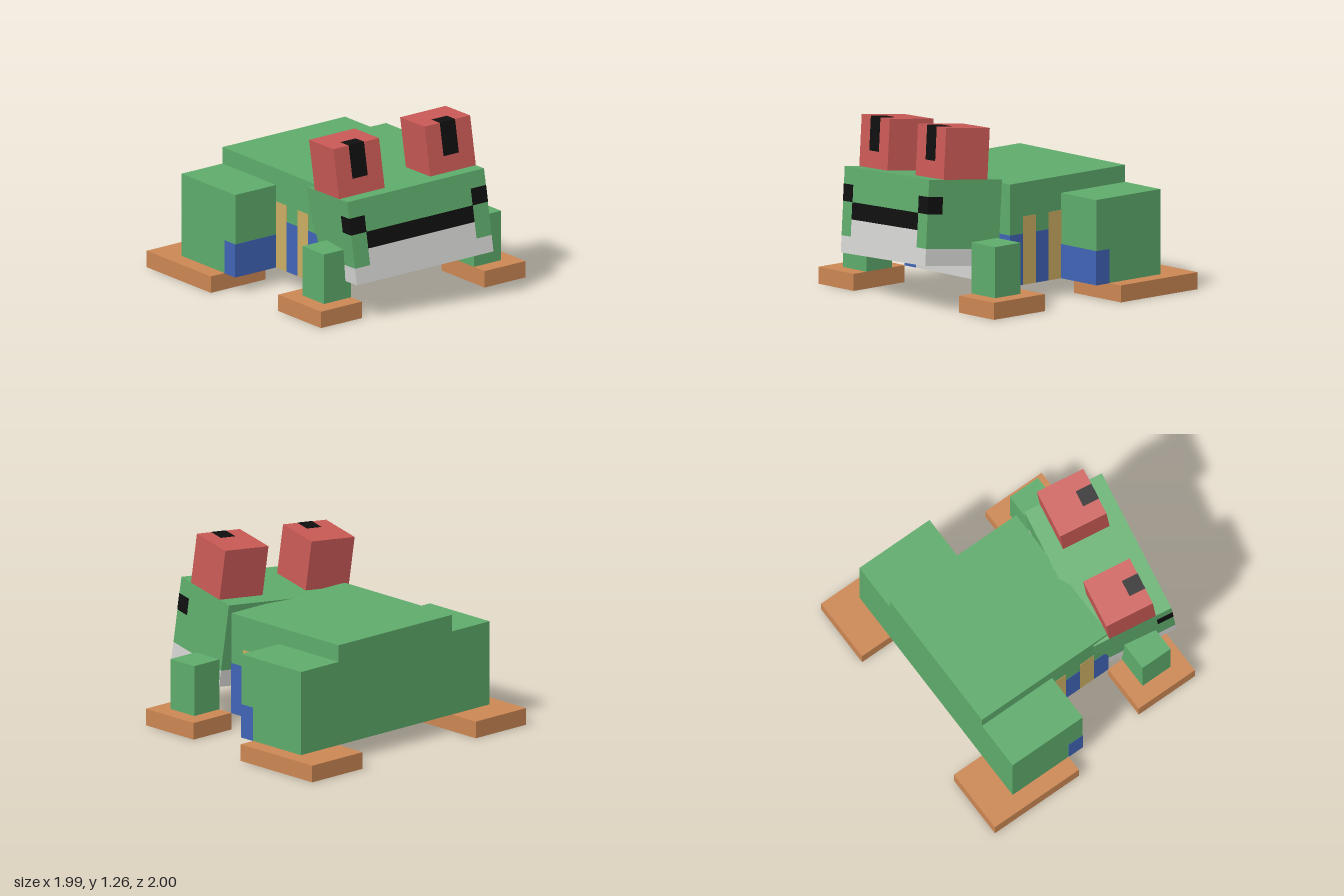
import * as THREE from 'three';

const mat = (name, color) => Object.assign(new THREE.MeshStandardMaterial({ color }), { name });

// Block between two limits on each axis; a zero-size axis becomes a thin painted plate
function block(parent, name, material, [x0, x1], [y0, y1], [z0, z1]) {
  const size = (a, b) => Math.abs(b - a) || 0.06;
  const mesh = new THREE.Mesh(new THREE.BoxGeometry(size(x0, x1), size(y0, y1), size(z0, z1)), material);
  mesh.position.set((x0 + x1) / 2, (y0 + y1) / 2, (z0 + z1) / 2);
  mesh.name = name;
  parent.add(mesh);
}

function group(parent, name) {
  const g = new THREE.Group();
  g.name = name;
  parent.add(g);
  return g;
}

export function createModel() {
  const green = mat('skin green', 0x5eab6b);
  const red = mat('eye red', 0xc85955);
  const orange = mat('foot orange', 0xcb8753);
  const blue = mat('marking blue', 0x3f64b5);
  const yellow = mat('stripe yellow', 0xcbad62);
  const white = mat('belly white', 0xd4d4d2);
  const black = mat('marking black', 0x0f0f0f);

  const model = new THREE.Group();
  model.name = 'blockFrog';
  model.scale.setScalar(1 / 17); // whole numbers below are grid cells
  model.position.x = 0.004;

  // Body with pale belly
  const body = group(model, 'body');
  block(body, 'torso', green, [-13, 5], [2, 14], [-9, 9]);
  block(body, 'bellyUnderside', white, [-11, 5], [2, 2], [-7, 7]);
  block(body, 'bellyFront', white, [5, 5], [2, 4], [-7, 7]);

  // Head: tilted, with its pivot at the middle of the top front edge
  const head = group(model, 'head');
  const deg = Math.PI / 180;
  head.position.set(14.16, 15, 2.02);
  head.rotation.set(4.1 * deg, -10 * deg, 5.75 * deg, 'YZX');
  block(head, 'skull', green, [-10, 0], [-8, 0], [-9, 9]);
  block(head, 'jaw', white, [-10, 0], [-10, -8], [-9, 9]);
  block(head, 'lowerLip', white, [0, 0], [-8, -6], [-7, 7]);
  block(head, 'mouth', black, [0, 0], [-6, -4], [-7, 7]);

  for (const s of [1, -1]) {
    const side = s > 0 ? 'right' : 'left';
    const z = (a, b) => [s * a, s * b];

    // Flank markings wrapping under the belly edge
    const bands = [[-3, -1, yellow, 10], [-1, 1, blue, 8], [1, 3, yellow, 10], [3, 5, blue, 8]];
    for (const [x0, x1, m, top] of bands) {
      block(body, side + 'FlankBand', m, [x0, x1], [2, top], z(9, 9));
      block(body, side + 'UndersideBand', m, [x0, x1], [2, 2], z(7, 9));
    }
    block(body, side + 'ChestEdge', blue, [5, 5], [2, 8], z(7, 9));

    // Hind leg with blue knee patch, and foot
    const hind = group(model, side + 'HindLeg');
    block(hind, 'thigh', green, [-13, -3], [2, 12], z(9, 15));
    block(hind, 'kneeOuter', blue, [-5, -3], [2, 6], z(15, 15));
    block(hind, 'kneeFront', blue, [-3, -3], [2, 6], z(9, 15));
    block(hind, 'kneeUnderside', blue, [-5, -3], [2, 2], z(9, 15));
    block(hind, 'hindFoot', orange, [-17, -5], [0, 2], z(9, 17));

    // Front leg and foot
    const front = group(model, side + 'FrontLeg');
    block(front, 'shin', green, [7, 11], [2, 8], z(9, 13));
    block(front, 'frontFoot', orange, [5, 13], [0, 2], z(9, 15));

    // Mouth corner markings
    block(head, side + 'MouthCornerFront', black, [0, 0], [-4, -2], z(7, 9));
    block(head, side + 'MouthCornerSide', black, [-2, 0], [-4, -2], z(9, 9));

    // Eye with pupil folded over the top edge
    const eye = group(head, side + 'Eye');
    block(eye, 'eyeball', red, [-8, -2], [0, 6], z(3, 9));
    block(eye, 'pupilFront', black, [-2, -2], [2, 6], z(5, 7));
    block(eye, 'pupilTop', black, [-4, -2], [6, 6], z(5, 7));
  }
  return model;
}
